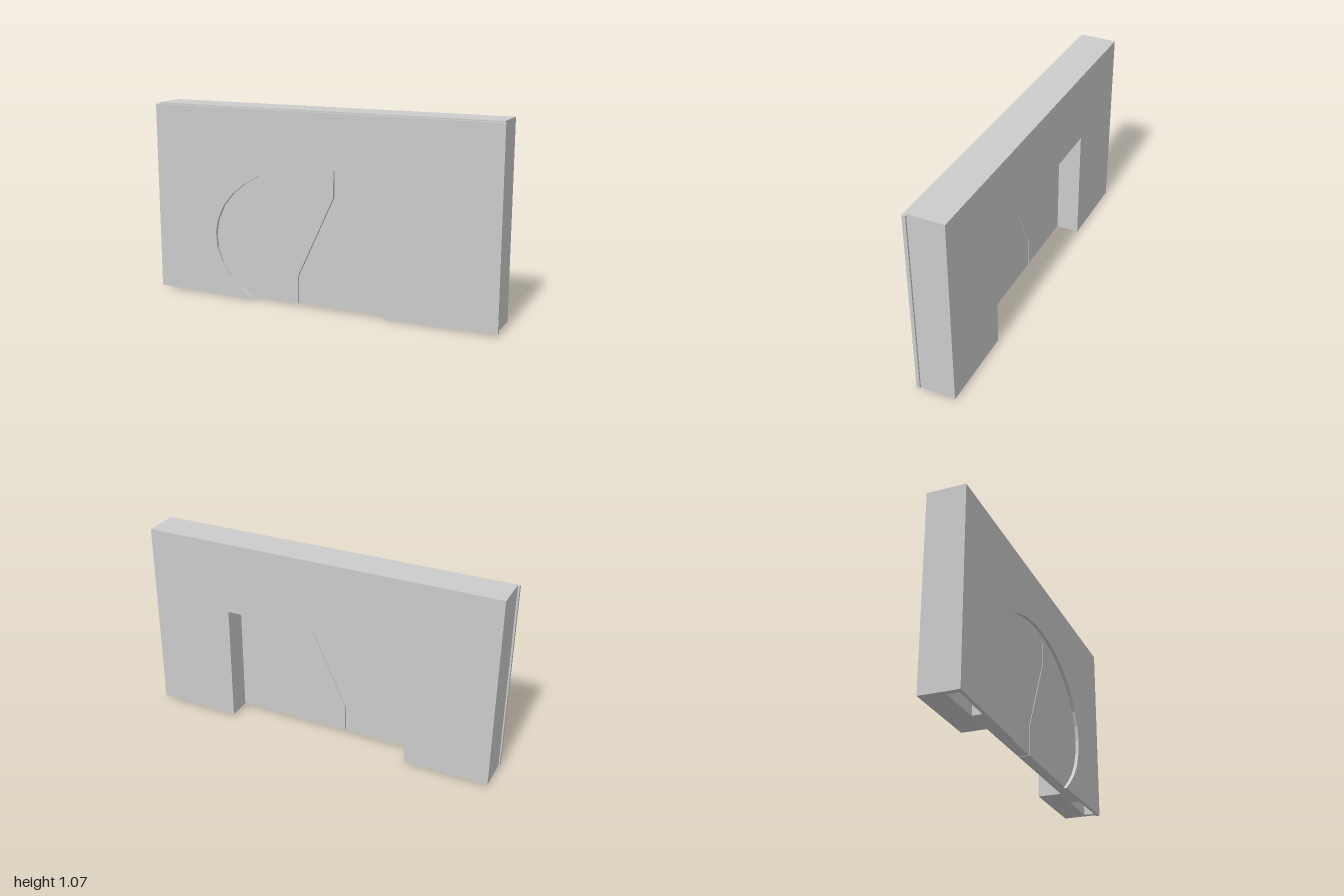
import * as THREE from 'three';

const W = 0.99, BASE = 0.015, TOP = 1.073;   // wall half width, underside, top
const BACK = -0.106, POCKET = 0.024, FACE = 0.087, FRONT = 0.106; // z layers

const grey = new THREE.MeshStandardMaterial({ color: 0xcccccc, flatShading: true, side: THREE.DoubleSide });

// Extrude an outline of [x, y] points between two z depths.
function slab(name, points, z0, z1) {
  const shape = new THREE.Shape(points.map(([x, y]) => new THREE.Vector2(x, y)));
  const geometry = new THREE.ExtrudeGeometry(shape, { depth: z1 - z0, bevelEnabled: false });
  geometry.translate(0, 0, z0);
  const mesh = new THREE.Mesh(geometry, grey);
  mesh.name = name;
  return mesh;
}

// Wall outline with a rectangular doorway open at the bottom.
function archway(halfWidth, height) {
  return [
    [-W, BASE], [-halfWidth, BASE], [-halfWidth, height], [halfWidth, height],
    [halfWidth, BASE], [W, BASE], [W, TOP], [-W, TOP],
  ];
}

// Front plate outline: a panel with an oval doorway cut off by the floor.
function ovalPlate() {
  const rx = 0.627, ry = 0.432, cy = 0.346, n = 26;
  const end = Math.PI + Math.asin(cy / ry);
  const start = -Math.asin(cy / ry);
  const points = [[-0.997, 0.013], [-0.8, 0.008]];
  points.push([-0.39, 0]);
  for (let i = 1; i < n; i++) {
    const a = end + (start - end) * i / n;
    points.push([rx * Math.cos(a), cy + ry * Math.sin(a)]);
  }
  points.push([0.39, 0], [0.8, 0.008], [1, 0.013], [1, 1.066], [-1, 1.066]);
  return points;
}

export function createModel() {
  const model = new THREE.Group();
  model.name = 'wallWithSlidingDoor';

  // Thick rear wall, then the hollow layer the door leaves slide in
  model.add(slab('rearWall', archway(0.525, 0.675), BACK, POCKET));
  model.add(slab('doorPocket', archway(0.96, 0.84), POCKET, FACE));

  // Thin facing with the oval doorway
  model.add(slab('frontPlate', ovalPlate(), FACE, FRONT));

  // Two door leaves meeting on a kinked seam
  const seam = [[-0.12, BASE], [-0.12, 0.17], [0.09, 0.62], [0.09, 0.82]];
  for (const side of [-1, 1]) {
    const edge = seam.map(([x, y]) => [x + side * 0.003, y]);
    const outline = [...edge, [side * 0.7, 0.82], [side * 0.7, BASE]];
    model.add(slab(side < 0 ? 'rightDoorLeaf' : 'leftDoorLeaf', outline, POCKET + 0.002, FACE - 0.003));
  }
  return model;
}
